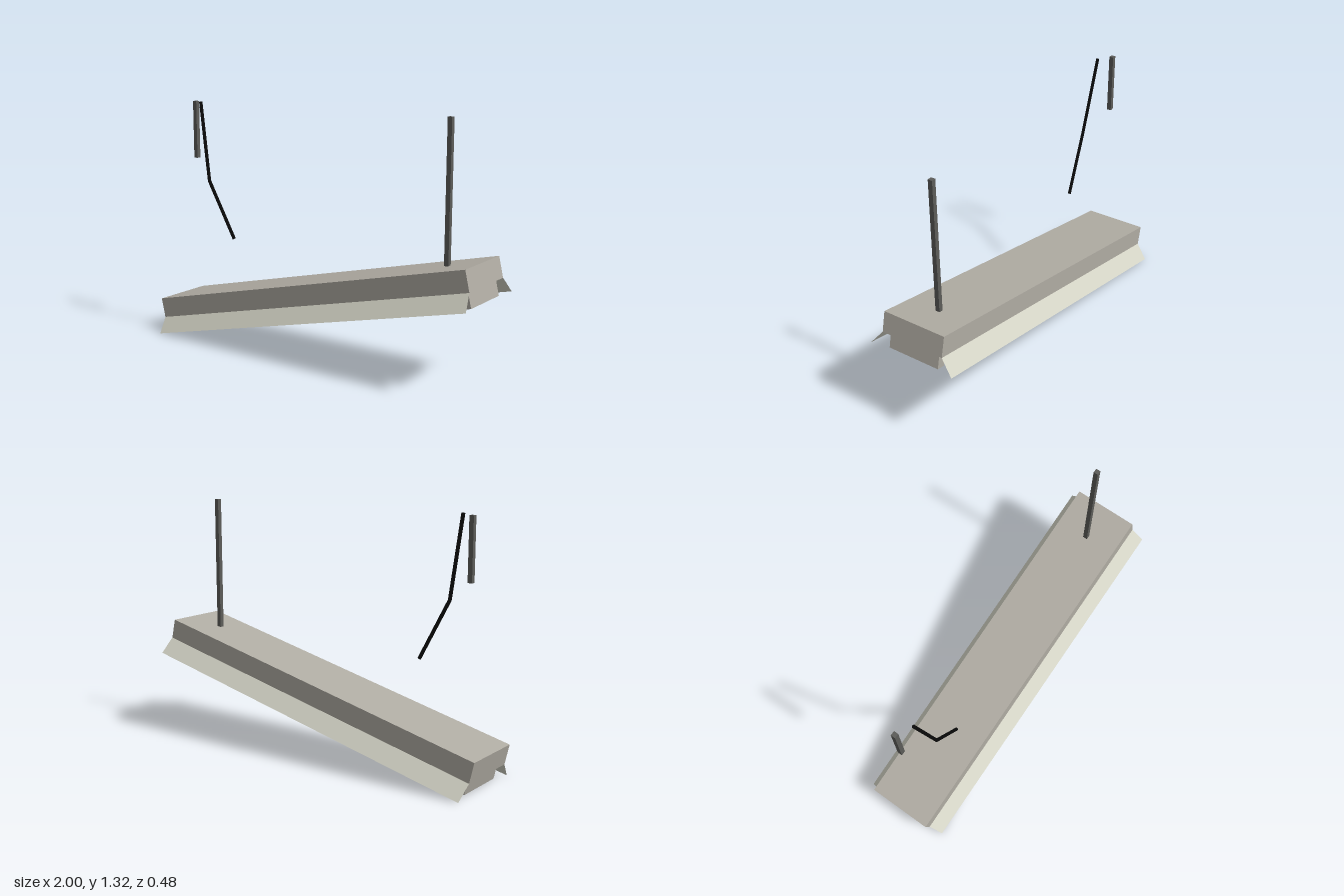
import * as THREE from 'three';

const mat = (name, color, extra = {}) => {
  const m = new THREE.MeshStandardMaterial({ color, flatShading: true, ...extra });
  m.name = name;
  return m;
};

export function createModel() {
  const grey = mat('housing grey', 0xb0aca3);
  const cream = mat('reflector cream', 0xd4d4c6, { side: THREE.DoubleSide });
  const glass = mat('tube yellow', 0xc4bd8c);
  const steel = mat('rod steel', 0x5c5c59);
  const black = mat('cord black', 0x0a0a0a);

  const model = new THREE.Group();
  model.name = 'hangingLamp';

  const add = (parent, name, geometry, material, x = 0, y = 0, z = 0) => {
    const mesh = new THREE.Mesh(geometry, material);
    mesh.name = name;
    mesh.position.set(x, y, z);
    parent.add(mesh);
    return mesh;
  };

  // Tilted fixture, origin at the middle of the housing's top
  const fixture = new THREE.Group();
  fixture.name = 'fixture';
  fixture.position.set(-0.022, 0.413, 0);
  fixture.rotation.z = THREE.MathUtils.degToRad(13);
  model.add(fixture);

  const length = 2.004, height = 0.11, half = 0.176;
  add(fixture, 'housing', new THREE.BoxGeometry(length, height, half * 2), grey, 0, -height / 2, 0);

  // Sloping reflector wings, front and back
  const drop = 0.082, flare = 0.065;
  for (const s of [1, -1]) {
    const wing = new THREE.PlaneGeometry(length, Math.hypot(drop, flare));
    wing.rotateX(-Math.atan2(flare, drop));
    if (s < 0) wing.rotateY(Math.PI);
    add(fixture, s > 0 ? 'frontReflector' : 'backReflector', wing, cream,
      0, -height - drop / 2, s * (half + flare / 2));

    // Socket block at each end
    add(fixture, s > 0 ? 'leftSocket' : 'rightSocket',
      new THREE.BoxGeometry(0.047, 0.082, 0.29), grey, s * 0.955, -height - 0.041, 0);

    // Six-sided lamp tube with an edge pointing down
    const tube = new THREE.CylinderGeometry(0.0265, 0.0265, 1.9, 6);
    tube.rotateY(Math.PI / 6);
    tube.rotateZ(Math.PI / 2);
    add(fixture, s > 0 ? 'frontTube' : 'backTube', tube, glass, 0, -0.161, s * 0.081);
  }

  // Ceiling rods: a broken stub and a whole one
  for (const [name, x, bottom] of [['brokenRod', -0.855, 1.0], ['wholeRod', 0.765, 0.595]]) {
    const h = 1.32 - bottom;
    add(model, name, new THREE.BoxGeometry(0.024, h, 0.024), steel, x, bottom + h / 2, 0);
  }

  // Loose hanging cord
  const points = [[-0.776, 1.32, 0.048], [-0.695, 0.89, 0.08], [-0.537, 0.58, 0.064]]
    .map(p => new THREE.Vector3(...p));
  const up = new THREE.Vector3(0, 1, 0);
  for (let i = 0; i < 2; i++) {
    const d = points[i].clone().sub(points[i + 1]);
    const mid = points[i].clone().add(points[i + 1]).multiplyScalar(0.5);
    const cord = add(model, 'cord', new THREE.CylinderGeometry(0.0095, 0.0095, d.length() + 0.004, 6),
      black, mid.x, mid.y, mid.z);
    cord.quaternion.setFromUnitVectors(up, d.normalize());
  }

  return model;
}
